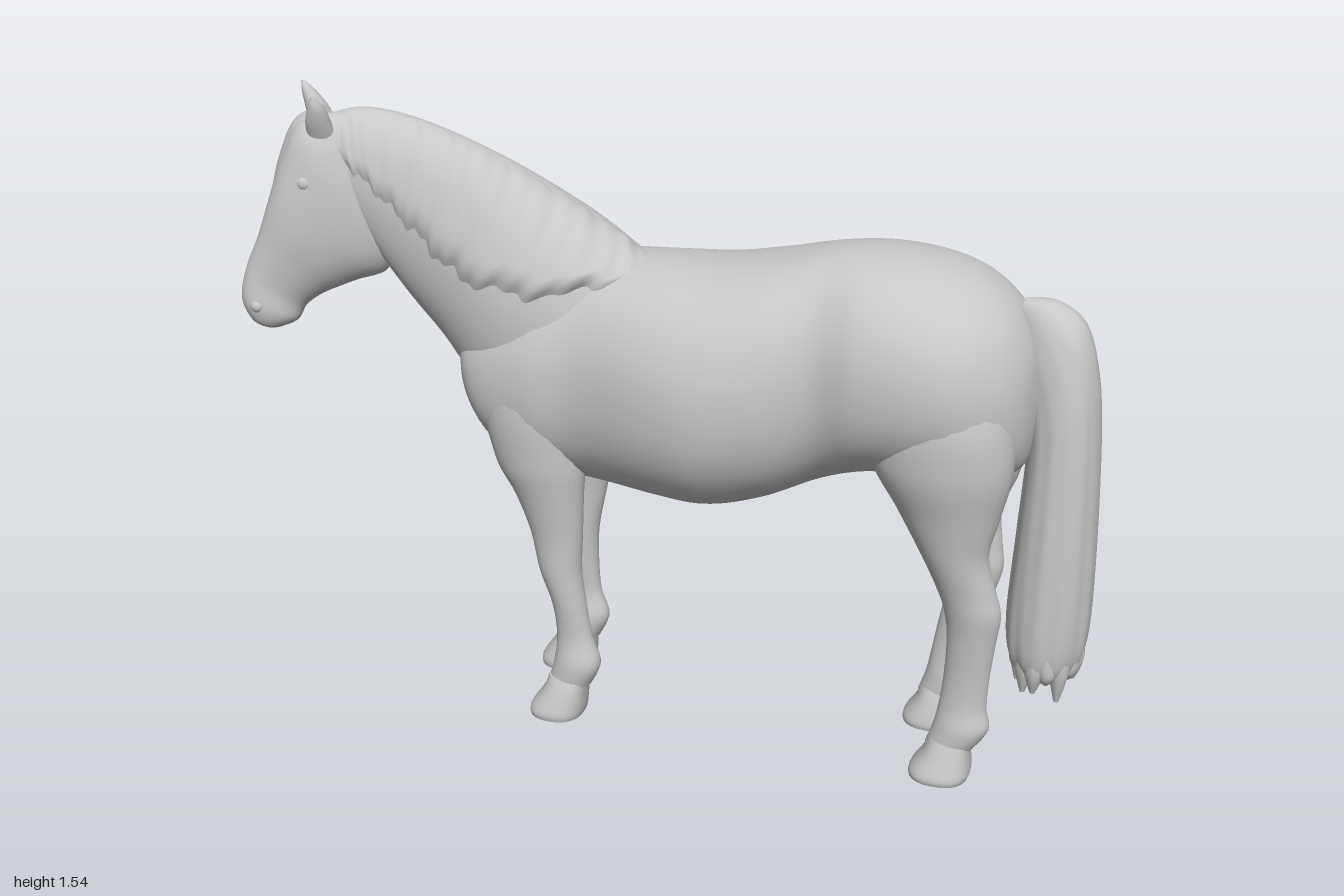
import * as THREE from 'three';

const coat = new THREE.MeshStandardMaterial({ color: 0xc8c8c8 });
coat.name = 'plain grey';
coat.side = THREE.DoubleSide;

// Smooth interpolation of a list of number rows, t from 0 to 1
function sample(rows, t) {
  const f = Math.min(t, 0.99999) * (rows.length - 1), i = Math.floor(f), u = f - i;
  const at = k => rows[Math.max(0, Math.min(rows.length - 1, k))];
  const [a, b, c, d] = [at(i - 1), at(i), at(i + 1), at(i + 2)];
  return b.map((p, k) => p + 0.5 * u * (c[k] - a[k]
    + u * (2 * a[k] - 5 * p + 4 * c[k] - d[k] + u * (3 * (p - c[k]) + d[k] - a[k]))));
}

// Point on an oval cut; row = [topX, topY, bottomX, bottomY, centreZ, halfWidth]
function ringPoint(row, angle, { power = 2, lean = 0, scale = 1 } = {}) {
  const [tx, ty, bx, by, z, w] = row;
  const bend = v => Math.sign(v) * Math.abs(v) ** (2 / power);
  const s = bend(Math.sin(angle)) * scale, c = bend(Math.cos(angle)) * scale * Math.max(w, 0.001);
  const n = Math.hypot(lean, 1), dx = (tx - bx) / 2 * s;
  return [(tx + bx) / 2 + dx + c * lean / n, (ty + by) / 2 + (ty - by) / 2 * s, z - dx * lean + c / n];
}

// Closed skin through the cuts, turned outwards whichever way the rows run
function loft(name, rows, opts = {}) {
  const sides = opts.sides || 32, steps = (rows.length - 1) * 6;
  const pos = [], idx = [];
  for (let i = 0; i <= steps; i++) {
    const t = i / steps, row = sample(rows, t);
    for (let j = 0; j < sides; j++) {
      const a = j / sides * Math.PI * 2;
      pos.push(...ringPoint(row, a, { ...opts, scale: opts.ripple ? opts.ripple(a, t) : 1 }));
    }
  }
  for (let i = 0; i < steps; i++) for (let j = 0; j < sides; j++) {
    const a = i * sides + j, b = i * sides + (j + 1) % sides;
    idx.push(a, b, a + sides, b, b + sides, a + sides);
  }
  for (const end of [0, steps]) {
    const start = pos.length / 3, mid = [0, 0, 0];
    for (let j = 0; j < sides; j++) for (let k = 0; k < 3; k++) {
      const v = pos[(end * sides + j) * 3 + k];
      pos.push(v);
      mid[k] += v / sides;
    }
    pos.push(...mid);
    for (let j = 0; j < sides; j++) {
      const a = start + j, b = start + (j + 1) % sides, c = start + sides;
      end ? idx.push(a, b, c) : idx.push(b, a, c);
    }
  }
  let volume = 0;
  const p = k => new THREE.Vector3().fromArray(pos, k * 3);
  for (let k = 0; k < idx.length; k += 3) volume += p(idx[k]).dot(p(idx[k + 1]).cross(p(idx[k + 2])));
  if (volume < 0) idx.reverse();
  return finish(name, pos, idx);
}

function finish(name, pos, idx) {
  const g = new THREE.BufferGeometry();
  g.setAttribute('position', new THREE.Float32BufferAttribute(pos, 3));
  g.setIndex(idx);
  g.computeVertexNormals();
  const mesh = new THREE.Mesh(g, coat);
  mesh.name = name;
  return mesh;
}

const BODY = [
  [-0.52, 0.96, -0.515, 0.86, 0, 0.07], [-0.49, 1.02, -0.475, 0.76, 0, 0.15],
  [-0.42, 1.08, -0.41, 0.675, 0, 0.193], [-0.3, 1.15, -0.3, 0.63, 0, 0.218],
  [-0.18, 1.18, -0.18, 0.62, 0, 0.218], [0, 1.188, 0, 0.608, 0, 0.27],
  [0.12, 1.195, 0.12, 0.608, 0, 0.288], [0.25, 1.22, 0.25, 0.645, 0, 0.272],
  [0.37, 1.25, 0.37, 0.7, 0, 0.23], [0.48, 1.26, 0.48, 0.74, 0, 0.256],
  [0.6, 1.25, 0.6, 0.75, 0, 0.262], [0.7, 1.22, 0.7, 0.755, 0, 0.244],
  [0.78, 1.165, 0.78, 0.76, 0, 0.19], [0.828, 1.09, 0.828, 0.79, 0, 0.125], [0.85, 1.01, 0.848, 0.87, 0, 0.05]];

const NECK = [
  [-0.07, 1.178, -0.32, 0.7, 0.01, 0.165], [-0.2, 1.272, -0.47, 0.82, 0.02, 0.175],
  [-0.36, 1.375, -0.555, 0.95, 0.052, 0.137], [-0.5, 1.45, -0.615, 1.045, 0.088, 0.106],
  [-0.62, 1.495, -0.66, 1.125, 0.115, 0.088], [-0.72, 1.508, -0.7, 1.2, 0.135, 0.075],
  [-0.8, 1.485, -0.74, 1.25, 0.15, 0.05]];

const HEAD = [
  [-0.74, 1.5, -0.67, 1.4, 0.13, 0.04], [-0.84, 1.48, -0.665, 1.22, 0.145, 0.08],
  [-0.885, 1.4, -0.675, 1.125, 0.155, 0.088], [-0.92, 1.3, -0.75, 1.095, 0.178, 0.08],
  [-0.95, 1.21, -0.82, 1.065, 0.198, 0.062], [-0.983, 1.13, -0.86, 1.035, 0.21, 0.052],
  [-0.998, 1.06, -0.88, 1, 0.217, 0.053], [-0.986, 1.01, -0.92, 0.983, 0.218, 0.043],
  [-0.965, 0.99, -0.94, 0.98, 0.218, 0.015]];

// Legs as [frontX, backX, y, z, halfWidth]
const FORELEG = [
  [-0.38, -0.22, 1.06, 0.095, 0.06], [-0.44, -0.2, 0.87, 0.12, 0.09],
  [-0.415, -0.19, 0.7, 0.125, 0.08], [-0.365, -0.195, 0.6, 0.125, 0.062],
  [-0.33, -0.2, 0.5, 0.122, 0.05], [-0.31, -0.205, 0.4, 0.12, 0.048], [-0.28, -0.195, 0.31, 0.12, 0.04],
  [-0.27, -0.18, 0.22, 0.12, 0.034], [-0.278, -0.16, 0.15, 0.12, 0.046], [-0.295, -0.185, 0.09, 0.12, 0.045]];
const FOREHOOF = [[-0.29, -0.19, 0.11, 0.12, 0.044], [-0.303, -0.195, 0.075, 0.12, 0.06],
  [-0.336, -0.2, 0.025, 0.122, 0.074], [-0.338, -0.205, 0.005, 0.122, 0.072]];
const HINDLEG = [
  [0.58, 0.75, 1.12, 0.1, 0.07], [0.51, 0.805, 0.96, 0.12, 0.12], [0.5, 0.82, 0.82, 0.13, 0.113],
  [0.565, 0.798, 0.7, 0.131, 0.084],
  [0.62, 0.778, 0.6, 0.131, 0.063], [0.662, 0.798, 0.51, 0.125, 0.051], [0.683, 0.813, 0.45, 0.122, 0.047],
  [0.692, 0.806, 0.38, 0.119, 0.04], [0.69, 0.796, 0.28, 0.116, 0.034], [0.682, 0.794, 0.2, 0.114, 0.036],
  [0.672, 0.802, 0.145, 0.114, 0.046], [0.655, 0.768, 0.09, 0.114, 0.045]];
const HINDHOOF = [[0.665, 0.765, 0.11, 0.115, 0.044], [0.652, 0.764, 0.075, 0.115, 0.058],
  [0.624, 0.767, 0.03, 0.118, 0.073], [0.622, 0.762, 0.012, 0.118, 0.071]];

// The right-hand pair of each set stands slightly forward
function legRows(rows, side) {
  return rows.map(([f, b, y, z, w]) => {
    const shift = side < 0 ? -0.065 * THREE.MathUtils.clamp((0.7 - y) / 0.45, 0, 1) : 0;
    return [f + shift, y, b + shift, y, z * side, w];
  });
}

// Mane lying over the left of the neck, ending in ragged locks
function mane() {
  const drop = [[0.08], [0.36], [0.56], [0.55], [0.5], [0.42], [0.27]];
  const cols = 140, rows = 18, pos = [], idx = [];
  for (let i = 0; i <= cols; i++) {
    const t = i / cols * 0.97, row = sample(NECK, t);
    const ragged = 0.022 * Math.sin(t * 48) + 0.014 * Math.sin(t * 117 + 1);
    const low = Math.asin(1 - 2 * Math.max(0.04, sample(drop, t)[0] + ragged));
    for (let j = 0; j <= rows; j++) {
      const u = j / rows, high = Math.PI * 0.6;
      const angle = high + (low - high) * u;
      const edge = Math.min(1, u * 5, (1 - u) * 9);
      const strands = 0.006 * Math.sin(t * 60 + u * 9) + 0.005 * Math.sin(t * 131 + u * 14);
      const p = ringPoint(row, angle, { scale: 0.97 + edge * (0.07 + 0.08 * u + strands) });
      p[1] -= Math.max(0, Math.sin(angle)) * 0.014 * edge;
      pos.push(...p);
      if (i && j) {
        const a = (i - 1) * (rows + 1) + j - 1, b = a + rows + 1;
        idx.push(a, a + 1, b, b, a + 1, b + 1);
      }
    }
  }
  return finish('mane', pos, idx);
}

export function createModel() {
  const model = new THREE.Group();
  model.name = 'horse';
  model.add(loft('body', BODY, { power: 2.2, sides: 48 }), loft('neck', NECK, { sides: 40 }), mane());

  // Head, turned a little to the left
  const head = new THREE.Group();
  head.name = 'head';
  const lean = 0.45;
  head.add(loft('skull', HEAD, { power: 2.2, lean }));
  head.add(loft('leftEar', [[-0.81, 1.44, -0.75, 1.44, 0.195, 0.02], [-0.81, 1.485, -0.755, 1.48, 0.208, 0.026],
    [-0.795, 1.525, -0.76, 1.52, 0.225, 0.018], [-0.782, 1.55, -0.775, 1.55, 0.237, 0.003]], { lean, sides: 14 }));
  head.add(loft('rightEar', [[-0.86, 1.44, -0.8, 1.44, 0.1, 0.02], [-0.868, 1.485, -0.815, 1.48, 0.095, 0.026],
    [-0.876, 1.525, -0.842, 1.52, 0.097, 0.018], [-0.878, 1.55, -0.87, 1.55, 0.1, 0.003]], { lean, sides: 14 }));
  head.add(loft('forelock', [[-0.8, 1.51, -0.76, 1.46, 0.145, 0.035], [-0.868, 1.475, -0.82, 1.44, 0.152, 0.052],
    [-0.902, 1.4, -0.85, 1.38, 0.168, 0.054], [-0.922, 1.32, -0.885, 1.31, 0.184, 0.038],
    [-0.93, 1.25, -0.92, 1.25, 0.198, 0.004]], { lean, sides: 20 }));
  for (const side of [1, -1]) {
    const word = side > 0 ? 'left' : 'right';
    const bump = (name, t, lift, scale, size) => {
      const mesh = new THREE.Mesh(new THREE.SphereGeometry(size, 16, 12), coat);
      mesh.name = word + name;
      const angle = side > 0 ? lift : Math.PI - lift;
      mesh.position.fromArray(ringPoint(sample(HEAD, t), angle, { power: 2.2, lean, scale }));
      head.add(mesh);
    };
    bump('Eye', 0.24, 0.7, 0.86, 0.02);
    bump('Nostril', 0.74, 0.5, 0.8, 0.017);
  }
  model.add(head);

  // Legs and hooves
  for (const side of [1, -1]) {
    const word = side > 0 ? 'left' : 'right';
    for (const [part, rows, power] of [['Foreleg', FORELEG, 2], ['ForeHoof', FOREHOOF, 2.4],
      ['HindLeg', HINDLEG, 2], ['HindHoof', HINDHOOF, 2.4]])
      model.add(loft(word + part, legRows(rows, side), { power, sides: 24 }));
  }

  // Tail with strand grooves and loose tips
  const tail = new THREE.Group();
  tail.name = 'tail';
  tail.add(loft('tailHair', [
    [0.8, 1.17, 0.78, 1.12, -0.012, 0.02], [0.87, 1.165, 0.79, 1.06, -0.018, 0.052],
    [0.935, 1.115, 0.8, 0.98, -0.02, 0.078], [0.97, 1, 0.82, 0.9, -0.022, 0.094],
    [0.987, 0.85, 0.825, 0.8, -0.024, 0.104], [0.998, 0.6, 0.815, 0.6, -0.027, 0.117],
    [1, 0.4, 0.805, 0.4, -0.03, 0.122], [0.988, 0.3, 0.815, 0.3, -0.031, 0.114],
    [0.96, 0.25, 0.85, 0.25, -0.032, 0.08]], { power: 2.2, sides: 64,
    ripple: (a, t) => 1 + t * (0.02 * Math.sin(9 * a + 4 * t) + 0.015 * Math.sin(15 * a - 5 * t) - 0.015) }));
  for (let i = 0; i < 14; i++) {
    const a = i / 14 * Math.PI * 2, x = 0.903 + 0.064 * Math.cos(a), z = -0.031 + 0.092 * Math.sin(a);
    const tip = 0.235 + 0.028 * Math.sin(i * 2.4);
    tail.add(loft('tailLock', [[x + 0.02, 0.38, x - 0.02, 0.38, z, 0.02], [x + 0.025, 0.29, x - 0.022, 0.29, z, 0.026],
      [x + 0.006, tip, x - 0.006, tip, z, 0.007]], { sides: 10 }));
  }
  model.add(tail);
  return model;
}
